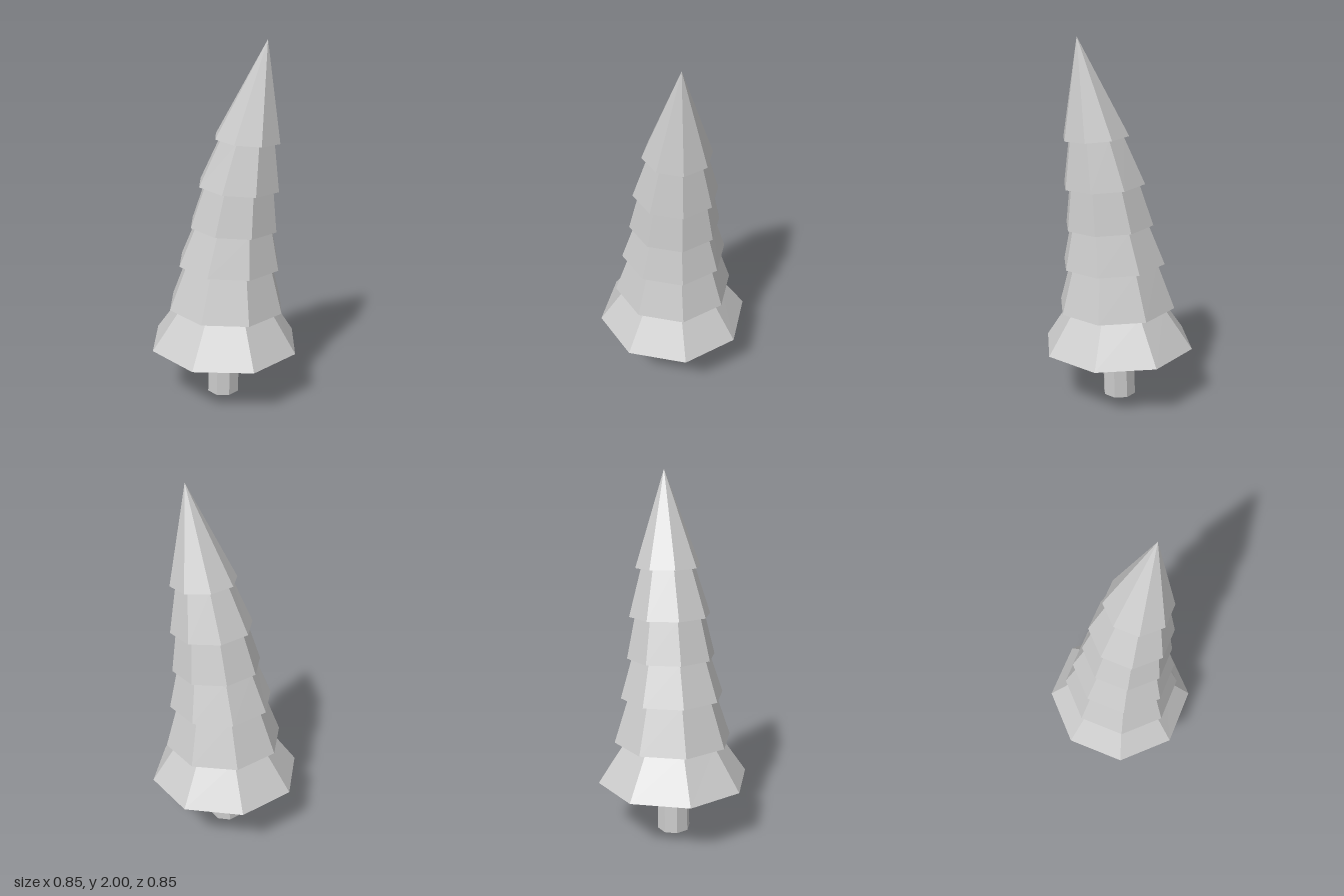
import * as THREE from 'three';

const SIDES = 8;
const material = new THREE.MeshStandardMaterial({
  color: 0xcccccc, flatShading: true, side: THREE.DoubleSide,
});

// Skin a list of octagonal rings [y, radius, centreX]; rings tip along the lean.
function loft(name, rings) {
  const positions = [], indices = [];
  for (const [y, r, cx] of rings) {
    for (let i = 0; i < SIDES; i++) {
      const a = (i / SIDES) * Math.PI * 2;
      const dx = Math.cos(a) * r;
      positions.push(cx + dx, y - dx * 0.05 * y, Math.sin(a) * r);
    }
  }
  for (let k = 0; k < rings.length - 1; k++) {
    for (let i = 0; i < SIDES; i++) {
      const j = (i + 1) % SIDES;
      const a = k * SIDES + i, b = k * SIDES + j;
      const c = a + SIDES, d = b + SIDES;
      if (rings[k][1] > 0) indices.push(a, c, b);
      if (rings[k + 1][1] > 0) indices.push(b, c, d);
    }
  }
  const geometry = new THREE.BufferGeometry();
  geometry.setAttribute('position', new THREE.Float32BufferAttribute(positions, 3));
  geometry.setIndex(indices);
  // Separate the facets so each keeps its own flat normal
  const faceted = geometry.toNonIndexed();
  faceted.computeVertexNormals();
  const mesh = new THREE.Mesh(faceted, material);
  mesh.name = name;
  return mesh;
}

export function createModel() {
  const tree = new THREE.Group();
  tree.name = 'pineTree';

  // Trunk, closed underneath, running up inside the lowest skirt
  tree.add(loft('trunk', [
    [0, 0, -0.008], [0, 0.093, -0.008], [0.31, 0.09, 0], [0.6, 0.085, 0.015],
  ]));

  // Branch tiers: rim height, rim radius, rim centre x, neck radius under the next rim
  const tiers = [
    [0.31, 0.425, 0, 0.268],
    [0.54, 0.33, 0.01, 0.247],
    [0.79, 0.288, 0.028, 0.22],
    [1.007, 0.246, 0.055, 0.195],
    [1.232, 0.226, 0.085, 0.15],
    [1.488, 0.181, 0.132, 0],
  ];
  const foliage = new THREE.Group();
  foliage.name = 'foliage';
  tiers.forEach(([y, r, cx, neck], i) => {
    const next = tiers[i + 1];
    const rings = [[y, r, cx]];
    if (next) {
      // Sloped skirt, then a ledge out to the rim of the tier above
      rings.push([next[0], neck, next[2]], [next[0], next[1], next[2]]);
    } else {
      rings.push([2, 0, 0.236]);
    }
    foliage.add(loft('branchTier' + (i + 1), rings));
  });
  tree.add(foliage);
  return tree;
}
